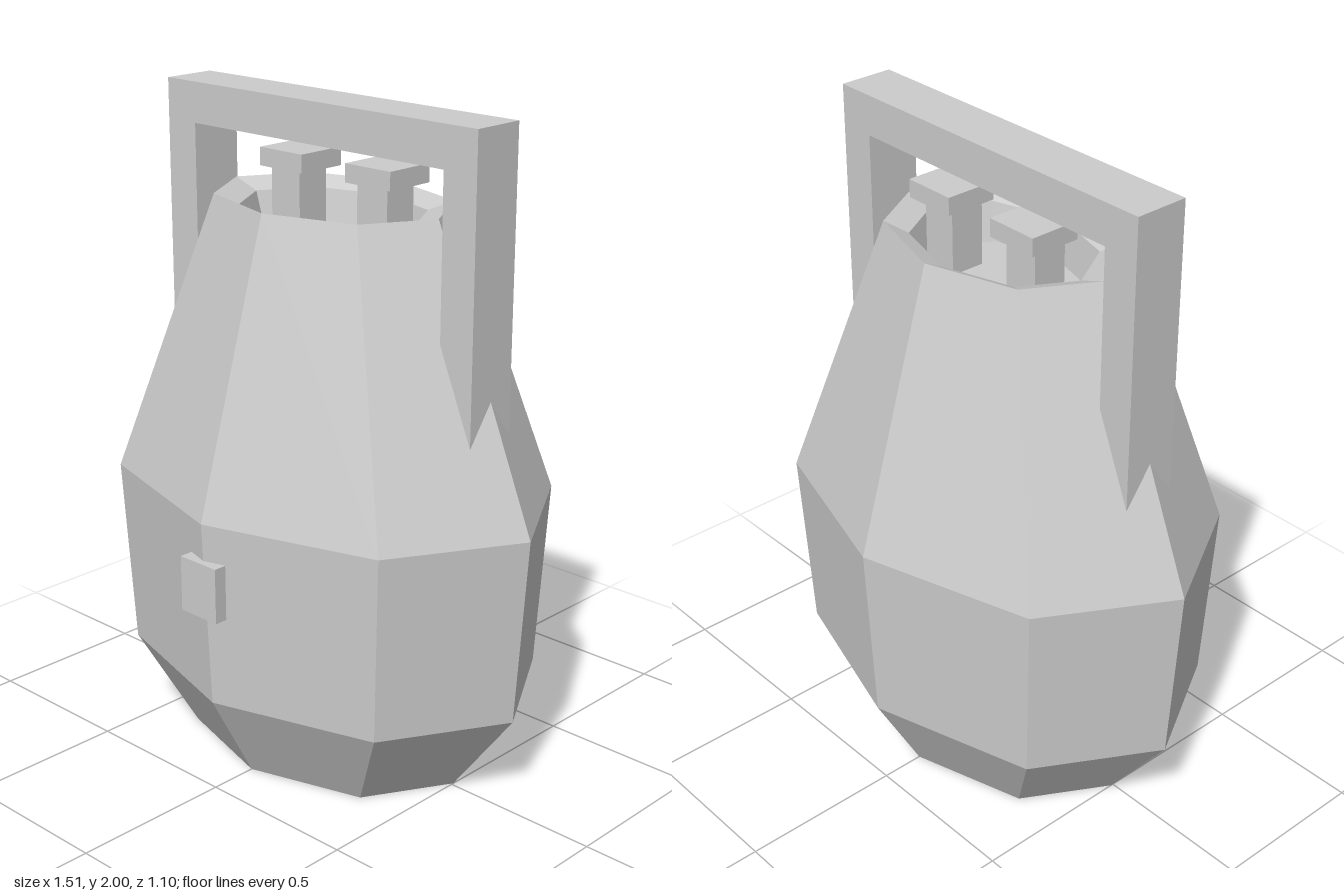
import * as THREE from 'three';

const grey = new THREE.MeshStandardMaterial({ color: 0xcccccc, flatShading: true });
grey.name = 'light grey';

function add(parent, name, geometry) {
  const mesh = new THREE.Mesh(geometry, grey);
  mesh.name = name;
  parent.add(mesh);
  return mesh;
}

// Box given by its lower and upper corners
function box(parent, name, [x0, y0, z0], [x1, y1, z1]) {
  const g = new THREE.BoxGeometry(x1 - x0, y1 - y0, z1 - z0);
  g.translate((x0 + x1) / 2, (y0 + y1) / 2, (z0 + z1) / 2);
  return add(parent, name, g);
}

export function createModel() {
  const model = new THREE.Group();
  model.name = 'handledVessel';

  // Eight-sided oval body with a sloping rim and a sunken top
  const profile = [
    [0, 0], [0.5, 0], [0.715, 0.285], [0.755, 0.86], [0.4, 1.715],
    [0.315, 1.685], [0.28, 1.57], [0, 1.57],
  ].map(([r, y]) => new THREE.Vector2(r, y));
  const bodyGeometry = new THREE.LatheGeometry(profile, 8);
  bodyGeometry.scale(1, 1, 0.717);
  bodyGeometry.translate(0, 0, -0.008);
  add(model, 'body', bodyGeometry);

  // Carrying handle: an upside-down U whose feet sink into the body
  const outline = [
    [-0.6, 1.1], [-0.485, 1.1], [-0.485, 1.877], [0.485, 1.877],
    [0.485, 1.1], [0.6, 1.1], [0.6, 2], [-0.6, 2],
  ].map(([x, y]) => new THREE.Vector2(x, y));
  const handleGeometry = new THREE.ExtrudeGeometry(new THREE.Shape(outline), { depth: 0.17, bevelEnabled: false });
  handleGeometry.translate(0, 0, -0.093);
  add(model, 'handle', handleGeometry);

  // Two square buttons standing in the sunken top
  for (const [side, x] of [['right', -0.173], ['left', 0.169]]) {
    const button = new THREE.Group();
    button.name = side + 'Button';
    button.position.x = x;
    box(button, side + 'ButtonStem', [-0.057, 1.56, -0.1], [0.057, 1.775, 0.01]);
    box(button, side + 'ButtonCap', [-0.085, 1.775, -0.135], [0.085, 1.83, 0.03]);
    model.add(button);
  }

  // Small plate on the front ridge
  box(model, 'frontPlate', [-0.073, 0.577, 0.508], [0.07, 0.746, 0.548]);

  return model;
}
